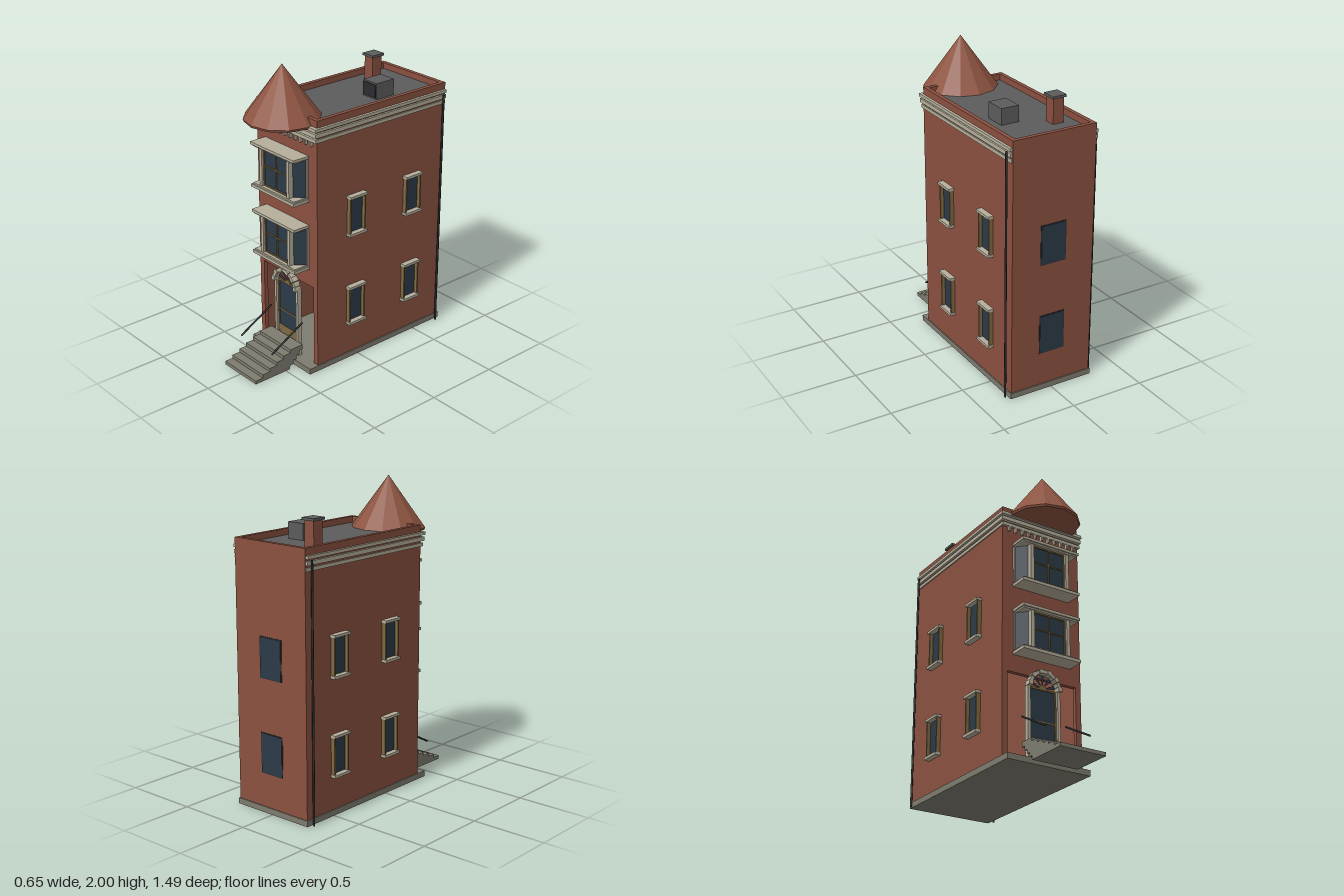
import * as THREE from 'three';

const mat = (name, color) => {
  const m = new THREE.MeshStandardMaterial({ color });
  m.name = name;
  return m;
};

export function createModel() {
  const brick = mat('brick', 0x8b5140);
  const roofTile = mat('roofTile', 0x8f5542);
  const stone = mat('paleStone', 0xb6af9b);
  const step = mat('greyStone', 0x7e7c6f);
  const glass = mat('glass', 0x2c3a47);
  const wood = mat('wood', 0x7f6942);
  const deck = mat('roofDeck', 0x5c5c5c);
  const iron = mat('iron', 0x2b2d30);
  glass.side = THREE.DoubleSide;

  const house = new THREE.Group();
  house.name = 'townhouse';
  const add = (name, geo, m, parent = house) => {
    const mesh = new THREE.Mesh(geo, m);
    mesh.name = name;
    parent.add(mesh);
    return mesh;
  };
  // Box given by its low and high limits on each axis
  const box = (name, m, x0, x1, y0, y1, z0, z1, parent = house) => {
    const mesh = add(name, new THREE.BoxGeometry(x1 - x0, y1 - y0, z1 - z0), m, parent);
    mesh.position.set((x0 + x1) / 2, (y0 + y1) / 2, (z0 + z1) / 2);
    return mesh;
  };
  const group = (name, parent = house) => {
    const g = new THREE.Group();
    g.name = name;
    parent.add(g);
    return g;
  };
  const W = 0.288, F = 0.34, B = -0.735;

  // Plinth, hollow brick shell and roof deck
  box('plinth', step, -0.295, 0.295, 0, 0.038, -0.742, 0.41);
  for (const s of [-1, 1]) {
    const x = s * (W - 0.014);
    box('sideWall', brick, x - 0.014, x + 0.014, 0.038, 1.71, B, F);
  }
  box('backWall', brick, -W + 0.028, W - 0.028, 0.038, 1.71, B, B + 0.028);
  const front = new THREE.Shape([[-0.26, 0.038], [-0.25, 0.038], [-0.25, 0.585], [0.25, 0.585],
    [0.25, 0.038], [0.26, 0.038], [0.26, 1.71], [-0.26, 1.71]].map(p => new THREE.Vector2(...p)));
  add('frontWall', new THREE.ExtrudeGeometry(front, { depth: 0.028, bevelEnabled: false }), brick)
    .position.z = F - 0.028;
  box('roofDeck', deck, -0.26, 0.26, 1.64, 1.67, B + 0.028, F - 0.028);

  // Cornice bands along the sides and front
  const cornice = group('cornice');
  for (const [y0, y1, out] of [[1.645, 1.665, 0.018], [1.607, 1.633, 0.014], [1.572, 1.594, 0.008]]) {
    for (const s of [-1, 1]) {
      const a = s * W, b = s * (W + out);
      box('sideBand', stone, Math.min(a, b), Math.max(a, b), y0, y1, B + 0.005, F, cornice);
    }
    box('frontBand', stone, -W - out, W + out, y0, y1, F, F + out + 0.008, cornice);
  }
  for (let i = 0; i < 11; i++) {
    const x = -0.245 + i * 0.049;
    box('dentil', stone, x - 0.006, x + 0.006, 1.54, 1.573, F, F + 0.02, cornice);
  }

  // Conical turret roof with a thin rim
  const cone = add('turretRoof', new THREE.ConeGeometry(0.243, 0.335, 12).toNonIndexed(), roofTile);
  cone.geometry.computeVertexNormals();
  cone.position.set(0, 1.8325, 0.367);
  const rim = add('turretRim', new THREE.CylinderGeometry(0.243, 0.238, 0.014, 12).toNonIndexed(), roofTile);
  rim.geometry.computeVertexNormals();
  rim.position.set(0, 1.658, 0.367);

  // Chimney and rooftop unit
  box('chimney', brick, -0.182, -0.108, 1.67, 1.832, -0.544, -0.466);
  box('chimneyCap', deck, -0.192, -0.096, 1.832, 1.848, -0.555, -0.456);
  box('roofUnit', deck, 0.04, 0.163, 1.67, 1.775, -0.4, -0.253);
  box('roofUnitGrille', iron, 0.045, 0.158, 1.68, 1.765, -0.253, -0.246);

  // Drainpipes
  for (const s of [-1, 1]) {
    add('drainpipe', new THREE.CylinderGeometry(0.007, 0.007, 1.64, 8), iron)
      .position.set(s * 0.311, 0.82, -0.7);
  }

  // Side windows, built for +x and turned round for -x
  for (const s of [1, -1]) for (const z of [0.03, -0.45]) for (const y of [0.262, 0.892]) {
    const w = group('sideWindow');
    w.position.set(0, y, z);
    if (s < 0) w.rotation.y = Math.PI;
    box('pane', glass, W, W + 0.004, 0.01, 0.255, -0.058, 0.058, w);
    for (const k of [-1, 1]) {
      box('jamb', wood, W, W + 0.028, 0.012, 0.252, k * 0.061 - 0.005, k * 0.061 + 0.005, w);
    }
    box('lintel', stone, W, 0.327, 0.25, 0.267, -0.071, 0.071, w);
    box('sill', stone, W, 0.327, -0.006, 0.012, -0.071, 0.071, w);
  }

  // Back windows
  for (const y of [0.39, 1.0]) {
    box('backWindowFrame', iron, -0.09, 0.09, y - 0.132, y + 0.132, B - 0.003, B);
    box('backWindowPane', glass, -0.085, 0.085, y - 0.127, y + 0.127, B - 0.006, B - 0.003);
  }

  // Bay windows with canted side lights
  for (const y of [0.7, 1.16]) {
    const bay = group('bayWindow');
    bay.position.y = y;
    box('sill', stone, -0.21, 0.21, 0, 0.02, F, 0.46, bay);
    box('sillStep', stone, -0.2, 0.2, 0.02, 0.03, F, 0.45, bay);
    box('headStep', stone, -0.2, 0.2, 0.277, 0.287, F, 0.45, bay);
    box('head', stone, -0.21, 0.21, 0.287, 0.305, F, 0.46, bay);
    box('pane', glass, -0.122, 0.122, 0.03, 0.277, 0.418, 0.422, bay);
    for (const s of [-1, 1]) {
      box('post', stone, s * 0.131 - 0.012, s * 0.131 + 0.012, 0.03, 0.277, 0.408, 0.443, bay);
      box('wallPost', stone, s * 0.202 - 0.006, s * 0.202 + 0.006, 0.03, 0.277, F, 0.353, bay);
      const side = box('sidePane', glass, -0.041, 0.041, 0.03, 0.277, -0.002, 0.002, bay);
      side.position.x = s * 0.171;
      side.position.z = 0.38;
      side.rotation.y = s * Math.atan2(0.06, 0.058);
      box('stile', wood, s * 0.115 - 0.004, s * 0.115 + 0.004, 0.03, 0.277, 0.42, 0.43, bay);
    }
    box('mullion', wood, -0.004, 0.004, 0.03, 0.277, 0.421, 0.429, bay);
    box('transom', wood, -0.115, 0.115, 0.161, 0.169, 0.421, 0.429, bay);
    box('bottomRail', wood, -0.115, 0.115, 0.03, 0.038, 0.421, 0.43, bay);
    box('topRail', wood, -0.115, 0.115, 0.269, 0.277, 0.421, 0.43, bay);
  }

  // Front door
  const door = group('frontDoor');
  box('doorGlass', glass, -0.092, 0.092, 0.185, 0.51, 0.336, 0.341, door);
  box('kickPanel', wood, -0.097, 0.097, 0.038, 0.187, 0.332, 0.345, door);
  box('midRail', wood, -0.092, 0.092, 0.298, 0.306, 0.338, 0.346, door);
  box('headRail', wood, -0.097, 0.097, 0.508, 0.52, 0.332, 0.347, door);
  for (const s of [-1, 1]) {
    box('doorStile', wood, s * 0.093 - 0.005, s * 0.093 + 0.005, 0.14, 0.51, 0.333, 0.347, door);
    box('doorJamb', stone, s * 0.108 - 0.01, s * 0.108 + 0.01, 0.038, 0.515, 0.33, 0.362, door);
  }
  // Fanlight wedges and hub
  for (let i = 0; i < 5; i++) {
    const wedge = add('fanlightPane', new THREE.CircleGeometry(0.096, 3, (i + 0.28) * Math.PI / 5, Math.PI * 0.09), glass, door);
    wedge.position.set(0, 0.518, 0.343);
  }
  add('fanlightHub', new THREE.CylinderGeometry(0.025, 0.025, 0.008, 16, 1, false, Math.PI / 2, Math.PI)
    .rotateX(Math.PI / 2), wood, door).position.set(0, 0.518, 0.345);
  // Arch stones, alternate ones slightly larger
  for (let i = 0; i < 11; i++) {
    const a0 = i * Math.PI / 11 + 0.01, a1 = (i + 1) * Math.PI / 11 - 0.01;
    const r = i % 2 ? 0.116 : 0.121;
    const s = new THREE.Shape();
    s.absarc(0, 0, r, a0, a1, false);
    s.absarc(0, 0, 0.094, a1, a0, true);
    add('archStone', new THREE.ExtrudeGeometry(s, { depth: i % 2 ? 0.043 : 0.048, bevelEnabled: false, curveSegments: 3 }),
      stone, door).position.set(0, 0.513, 0.336);
  }

  // Front steps as one stepped profile, drawn in z and y
  const pts = [[0.465, 0], [0.745, 0]];
  for (let i = 0; i < 6; i++) {
    const z = 0.745 - i * 0.057, y = (i + 1) * 0.0235;
    pts.push([z, y], [i < 5 ? z - 0.057 : 0.36, y]);
  }
  for (let i = 0; i < 4; i++) {
    const z = 0.36 + i * 0.026, y = 0.108 - i * 0.027;
    pts.push([z, y], [z + 0.026, y]);
  }
  const stairs = new THREE.ExtrudeGeometry(new THREE.Shape(pts.map(p => new THREE.Vector2(...p))),
    { depth: 0.32, bevelEnabled: false });
  stairs.rotateY(-Math.PI / 2);
  add('frontSteps', stairs, step).position.x = 0.16;

  // Sloping handrails
  for (const s of [-1, 1]) {
    const path = new THREE.LineCurve3(new THREE.Vector3(s * 0.158, 0.163, 0.613), new THREE.Vector3(s * 0.158, 0.302, 0.358));
    add('handrail', new THREE.TubeGeometry(path, 1, 0.006, 8), iron);
  }
  return house;
}
